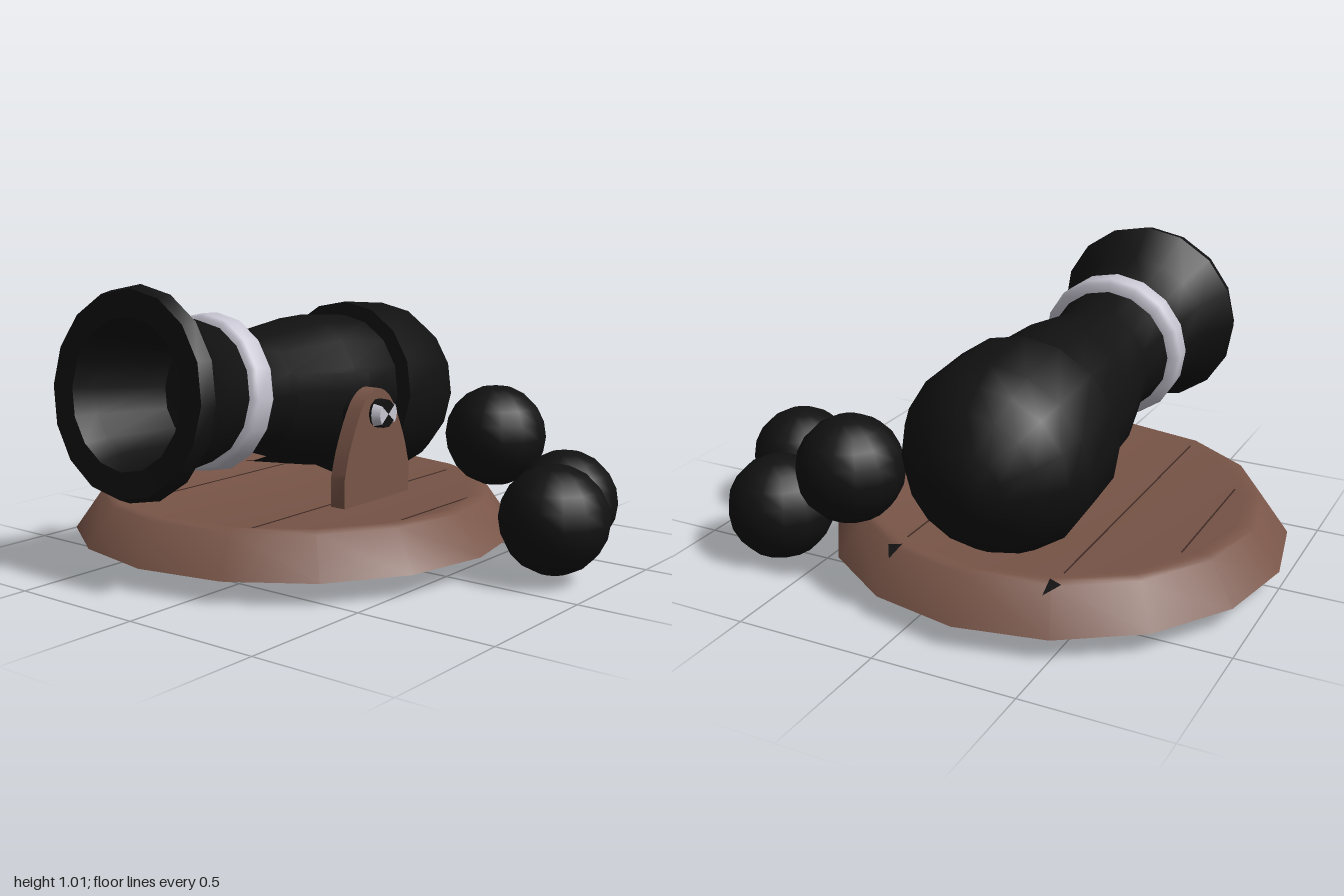
import * as THREE from 'three';
import { toCreasedNormals } from 'three/addons/utils/BufferGeometryUtils.js';

const mat = (name, color, side = THREE.FrontSide) => {
  const m = new THREE.MeshStandardMaterial({ color, side });
  m.name = name;
  return m;
};

export function createModel() {
  const iron = mat('black iron', 0x111111, THREE.DoubleSide);
  const wood = mat('brown wood', 0x795548);
  const seamWood = mat('dark wood seam', 0x3f2b25);
  const steel = mat('pale steel', 0xc8c6d2, THREE.DoubleSide);
  const model = new THREE.Group();
  const CX = -0.195, CZ = -0.033;

  const add = (parent, name, geometry, material, x = 0, y = 0, z = 0) => {
    const mesh = new THREE.Mesh(geometry, material);
    mesh.name = name;
    mesh.position.set(x, y, z);
    parent.add(mesh);
    return mesh;
  };
  // Profile of [radius, height] pairs, running from bottom to top
  const lathe = (profile, sides, crease) => toCreasedNormals(
    new THREE.LatheGeometry(profile.map(p => new THREE.Vector2(...p)), sides), crease);

  // Round wooden base with a sloping rim
  add(model, 'base', lathe([
    [0, 0.08], [0.81, 0.08], [0.715, 0.215], [0.69, 0.226], [0.65, 0.217], [0, 0.217],
  ], 16, 1.05), wood, CX, 0, CZ);

  // Plank seams on the base: x, start z, end z
  [[-0.75, -0.3, 0.25], [-0.47, -0.6, 0.6], [0.1, -0.6, 0.6], [0.42, -0.3, 0.15]].forEach(([x, a, b]) =>
    add(model, 'plankSeam', new THREE.BoxGeometry(0.005, 0.004, b - a), seamWood, x, 0.217, (a + b) / 2));

  // Dark splits in the rim at the back
  [-1, 1].forEach(s => {
    const split = new THREE.Shape([[-0.02, -0.035], [0.025, -0.02], [-0.012, 0.04]].map(p => new THREE.Vector2(p[0] * s, p[1])));
    const mesh = add(model, 'rimSplit', new THREE.ShapeGeometry(split), iron, CX + s * 0.285, 0.226, CZ - 0.685);
    mesh.rotation.x = -Math.PI / 2 - 0.3;
  });

  // Barrel group: local y runs along the bore, tilted slightly upward
  const cannon = new THREE.Group();
  cannon.name = 'cannon';
  cannon.position.set(CX, 0.581, 0);
  cannon.rotation.x = Math.PI / 2 - 0.0997;
  model.add(cannon);

  // Barrel with flared muzzle and hollow bore
  add(cannon, 'barrel', lathe([
    [0.2, -0.32], [0.279, -0.29], [0.275, -0.043], [0.211, 0.242], [0.24, 0.486], [0.275, 0.66],
    [0.354, 0.774], [0.339, 0.823], [0.25, 0.82], [0.225, 0.74], [0.19, 0.45], [0, 0.43],
  ], 16, 0.6), iron);

  // Domed breech with a stepped front edge
  add(cannon, 'breech', lathe([
    [0, -0.81], [0.07, -0.807], [0.146, -0.77], [0.24, -0.70], [0.297, -0.623],
    [0.332, -0.54], [0.33, -0.30], [0.25, -0.295],
  ], 16, 0.7), iron);

  // Steel band behind the muzzle
  add(cannon, 'barrelBand', lathe([
    [0.215, 0.39], [0.26, 0.395], [0.272, 0.412], [0.268, 0.478], [0.257, 0.492], [0.215, 0.495],
  ], 16, 0.9), steel);

  // Curved cradle plate hugging the lower side of the barrel
  add(cannon, 'cradlePlate',
    new THREE.CylinderGeometry(0.247, 0.285, 0.36, 8, 1, true, 0, Math.PI * 0.6), iron, 0, 0.068, 0);

  // Upright bracket with a rounded tip
  const side = [[0.19, 0.32], [0.16, 0.42], [0.105, 0.535], [0.06, 0.592], [0, 0.617]];
  const outline = new THREE.Shape();
  outline.moveTo(-0.19, 0.2);
  outline.lineTo(0.19, 0.2);
  outline.lineTo(...side[0]);
  outline.splineThru([...side.slice(1), ...side.slice(0, 4).reverse().map(([x, y]) => [-x, y])]
    .map(p => new THREE.Vector2(...p)));
  outline.closePath();
  const bracket = add(model, 'bracket', toCreasedNormals(
    new THREE.ExtrudeGeometry(outline, { depth: 0.06, bevelEnabled: false, curveSegments: 3 }), 0.6),
  wood, 0.12, 0, -0.035);
  bracket.rotation.y = Math.PI / 2;

  // Pivot pin through the bracket, capped with two steel wedges
  const pin = new THREE.Group();
  pin.name = 'pivot';
  pin.position.set(0, 0.53, -0.033);
  pin.rotation.z = -Math.PI / 2;
  model.add(pin);
  add(pin, 'pivotPin', new THREE.CylinderGeometry(0.05, 0.06, 0.22, 10), iron, 0, 0.11, 0);
  [0, Math.PI].forEach(a => add(pin, 'pivotWedge',
    new THREE.CylinderGeometry(0.05, 0.062, 0.03, 4, 1, false, a - 0.7, 1.4), steel, 0, 0.213, 0));

  // Cannonballs
  [[0.352, 0.395, -0.545], [0.66, 0.188, -0.533], [0.812, 0.215, -0.175]].forEach(p =>
    add(model, 'cannonball', new THREE.SphereGeometry(0.188, 14, 10), iron, ...p));

  return model;
}
